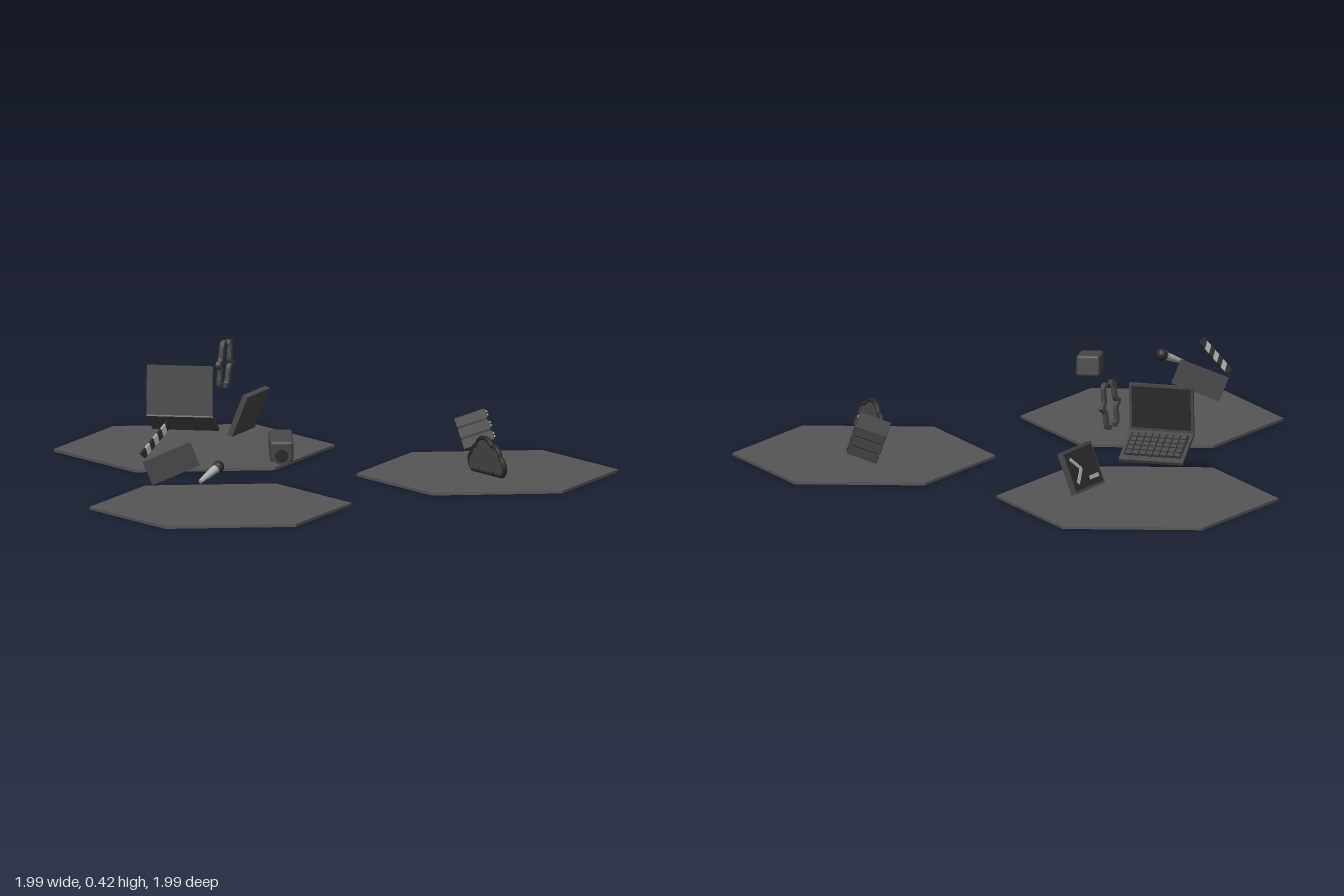
import * as THREE from 'three';
import { RoundedBoxGeometry } from 'three/addons/geometries/RoundedBoxGeometry.js';

const mat = (color) => new THREE.MeshStandardMaterial({ color });
const floorMat = mat(0x555555), body = mat(0x484848), dark = mat(0x2b2b2b), light = mat(0xaaaaaa);

const V = (a) => new THREE.Vector3(...a);

function add(parent, name, geometry, material, x = 0, y = 0, z = 0) {
  const mesh = new THREE.Mesh(geometry, material);
  mesh.name = name;
  mesh.position.set(x, y, z);
  parent.add(mesh);
  return mesh;
}

const box = (w, h, d) => new THREE.BoxGeometry(w, h, d);

// Group at a position, oriented by its x axis and approximate y axis
function place(parent, name, pos, xAxis, yAxis) {
  const x = V(xAxis).normalize();
  const z = x.clone().cross(V(yAxis)).normalize();
  const g = new THREE.Group();
  g.name = name;
  g.quaternion.setFromRotationMatrix(new THREE.Matrix4().makeBasis(x, z.clone().cross(x), z));
  g.position.set(...pos);
  parent.add(g);
  return g;
}

function extrude(shape, depth) {
  return new THREE.ExtrudeGeometry(shape, { depth, bevelEnabled: false }).translate(0, 0, -depth / 2);
}

// Flat stroke of constant width along a smooth 2D path
function stroke(points, width, depth) {
  const curve = new THREE.SplineCurve(points.map((p) => new THREE.Vector2(...p)));
  const left = [], right = [];
  for (let i = 0; i <= 32; i++) {
    const p = curve.getPoint(i / 32), t = curve.getTangent(i / 32);
    const n = new THREE.Vector2(-t.y, t.x).multiplyScalar(width / 2);
    left.push(p.clone().add(n));
    right.unshift(p.clone().sub(n));
  }
  return extrude(new THREE.Shape([...left, ...right]), depth);
}

function addLaptop(root) {
  const hinge = [-0.21, 0.178, -0.285], across = [-0.72, 0, -0.69];
  const base = place(root, 'laptopBase', hinge, across, [0.31, 0.89, -0.32]);
  add(base, 'laptopDeck', box(0.24, 0.012, 0.168), body, 0, 0, 0.084);
  add(base, 'keyboardWell', box(0.216, 0.002, 0.125), dark, 0, 0.0065, 0.08);
  for (let r = 0; r < 5; r++)
    for (let c = 0; c < 8; c++)
      add(base, 'key', box(0.021, 0.005, 0.019), body, (c - 3.5) * 0.026, 0.009, 0.032 + r * 0.024);
  const lid = place(root, 'laptopLid', hinge, across, [0.05, 1, -0.05]);
  add(lid, 'lidShell', box(0.24, 0.18, 0.01), body, 0, 0.09, 0);
  add(lid, 'screen', box(0.22, 0.155, 0.002), dark, 0, 0.092, 0.0055);
}

function addTerminal(root) {
  const g = place(root, 'terminalWindow', [0.2, 0.127, -0.437], [-0.85, 0, 0.53], [0.22, 0.93, 0.31]);
  add(g, 'windowPanel', box(0.207, 0.16, 0.02), body);
  add(g, 'windowScreen', box(0.19, 0.14, 0.003), dark, 0, 0, 0.0105);
  for (const s of [1, -1])
    add(g, 'promptArrow', box(0.07, 0.014, 0.005), light, -0.045, s * 0.022, 0.013).rotation.z = -s * 0.75;
  add(g, 'promptUnderscore', box(0.06, 0.014, 0.005), light, 0.045, -0.042, 0.013);
}

function addBraces(root) {
  const g = place(root, 'codeBraces', [0.043, 0.328, -0.362], [0.85, -0.08, -0.5], [0.1, 1, 0]);
  const half = [[0.022, 0.08], [0.006, 0.077], [0, 0.06], [-0.001, 0.03], [-0.006, 0.012], [-0.022, 0]];
  const path = [...half, ...half.slice(0, -1).reverse().map(([x, y]) => [x, -y])];
  const brace = stroke(path, 0.016, 0.016);
  add(g, 'leftBrace', brace, body, -0.035);
  add(g, 'rightBrace', brace, body, 0.035).rotation.z = Math.PI;
}

function addClapperboard(root) {
  const g = place(root, 'clapperboard', [-0.722, 0.157, 0.395], [0.155, 0.07, 0.08], [-0.025, 0.085, -0.01]);
  add(g, 'slate', box(0.185, 0.092, 0.012), body);
  const stick = place(root, 'clapperStick', [-0.818, 0.187, 0.35], [0.095, 0.125, 0.045], [-0.125, 0.095, 0]);
  // Slanted stripes alternate along the stick
  const n = 7, w = 0.155 / n, h = 0.013;
  for (let i = 0; i < n; i++) {
    const x = i * w, skewL = i ? 0.008 : 0, skewR = i < n - 1 ? 0.008 : 0;
    const shape = new THREE.Shape([[x - skewL, -h], [x + w - skewR, -h], [x + w + skewR, h], [x + skewL, h]]
      .map((p) => new THREE.Vector2(...p)));
    add(stick, 'stickStripe', extrude(shape, 0.012), i % 2 ? light : dark);
  }
}

function addCamera(root) {
  const g = place(root, 'videoCamera', [-0.378, 0.216, 0.592], [0.83, 0, 0.55], [-0.066, 0.99, 0.1]);
  add(g, 'cameraBody', new RoundedBoxGeometry(0.085, 0.076, 0.16, 2, 0.01), body);
  const neck = add(g, 'lensNeck', new THREE.CylinderGeometry(0.024, 0.024, 0.02, 16), dark, 0, -0.004, 0.085);
  const hood = add(g, 'lensHood', new THREE.CylinderGeometry(0.036, 0.026, 0.026, 8), body, 0, -0.004, 0.104);
  const glass = add(g, 'lensGlass', new THREE.CylinderGeometry(0.024, 0.024, 0.003, 16), dark, 0, -0.004, 0.117);
  for (const m of [neck, hood, glass]) m.rotation.x = Math.PI / 2;
}

function addMicrophone(root) {
  const g = place(root, 'microphone', [-0.768, 0.166, 0.695], [-0.4, 0.9, 0], [0.095, 0.042, -0.02]);
  add(g, 'microphoneHandle', new THREE.CylinderGeometry(0.016, 0.008, 0.09, 16), light, 0, -0.004, 0);
  add(g, 'microphoneCollar', new THREE.CylinderGeometry(0.02, 0.02, 0.008, 16), body, 0, 0.044, 0);
  add(g, 'microphoneHead', new THREE.SphereGeometry(0.022, 20, 14), dark, 0, 0.055, 0);
}

function addServer(root) {
  // Local +z is the panel side
  const g = place(root, 'serverStack', [0.667, 0.125, 0.315], [0.61, -0.21, -0.79], [-0.15, 1, -0.38]);
  add(g, 'serverCore', box(0.108, 0.11, 0.108), dark);
  for (let i = -1; i <= 1; i++) {
    add(g, 'serverUnit', box(0.116, 0.034, 0.114), body, 0, i * 0.041, 0);
    add(g, 'serverPanel', box(0.106, 0.026, 0.003), dark, 0, i * 0.041, 0.0575);
    for (let c = 0; c < 5; c++)
      for (const r of [-1, 1])
        add(g, 'serverVent', box(0.012, 0.007, 0.006), c ? body : light, (c - 2) * 0.02, i * 0.041 + r * 0.006, 0.06);
  }
}

function addCloud(root) {
  const g = place(root, 'cloud', [0.478, 0.095, 0.66], [0, 0, -1], [-0.1, 1, 0]);
  // Outline is the outer edge of overlapping lobes, cut flat below
  const lobes = [[0.005, 0.015, 0.055], [-0.05, 0.012, 0.035], [0.055, 0.005, 0.03],
    [-0.072, -0.025, 0.036], [0.073, -0.027, 0.036], [0, -0.02, 0.055]];
  const points = [];
  for (let i = 0; i < 120; i++) {
    const a = (i / 120) * Math.PI * 2, c = Math.cos(a), s = Math.sin(a);
    let r = 0.03;
    for (const [x, y, rad] of lobes) {
      const along = x * c + y * s, d = rad * rad - (x * x + y * y - along * along);
      if (d > 0) r = Math.max(r, along + Math.sqrt(d));
    }
    if (s < 0) r = Math.min(r, -0.058 / s);
    points.push(new THREE.Vector2(r * c, r * s));
  }
  add(g, 'cloudBody', extrude(new THREE.Shape(points), 0.012), body);
  const rim = new THREE.CatmullRomCurve3(points.map((p) => new THREE.Vector3(p.x, p.y, 0)), true);
  add(g, 'cloudRim', new THREE.TubeGeometry(rim, 160, 0.009, 8, true), dark);
}

export function createModel() {
  const root = new THREE.Group();
  root.name = 'techPlatforms';

  // Three hexagonal platforms
  for (const [x, z, r] of [[0, -0.4925, 0.5075], [-0.59, 0.515, 0.473], [0.58, 0.517, 0.473]])
    add(root, 'hexPlatform', new THREE.CylinderGeometry(r, r, 0.01, 6).toNonIndexed(), floorMat, x, 0.005, z)
      .geometry.computeVertexNormals();

  addLaptop(root);
  addTerminal(root);
  addBraces(root);
  addClapperboard(root);
  addCamera(root);
  addMicrophone(root);
  addServer(root);
  addCloud(root);
  return root;
}
